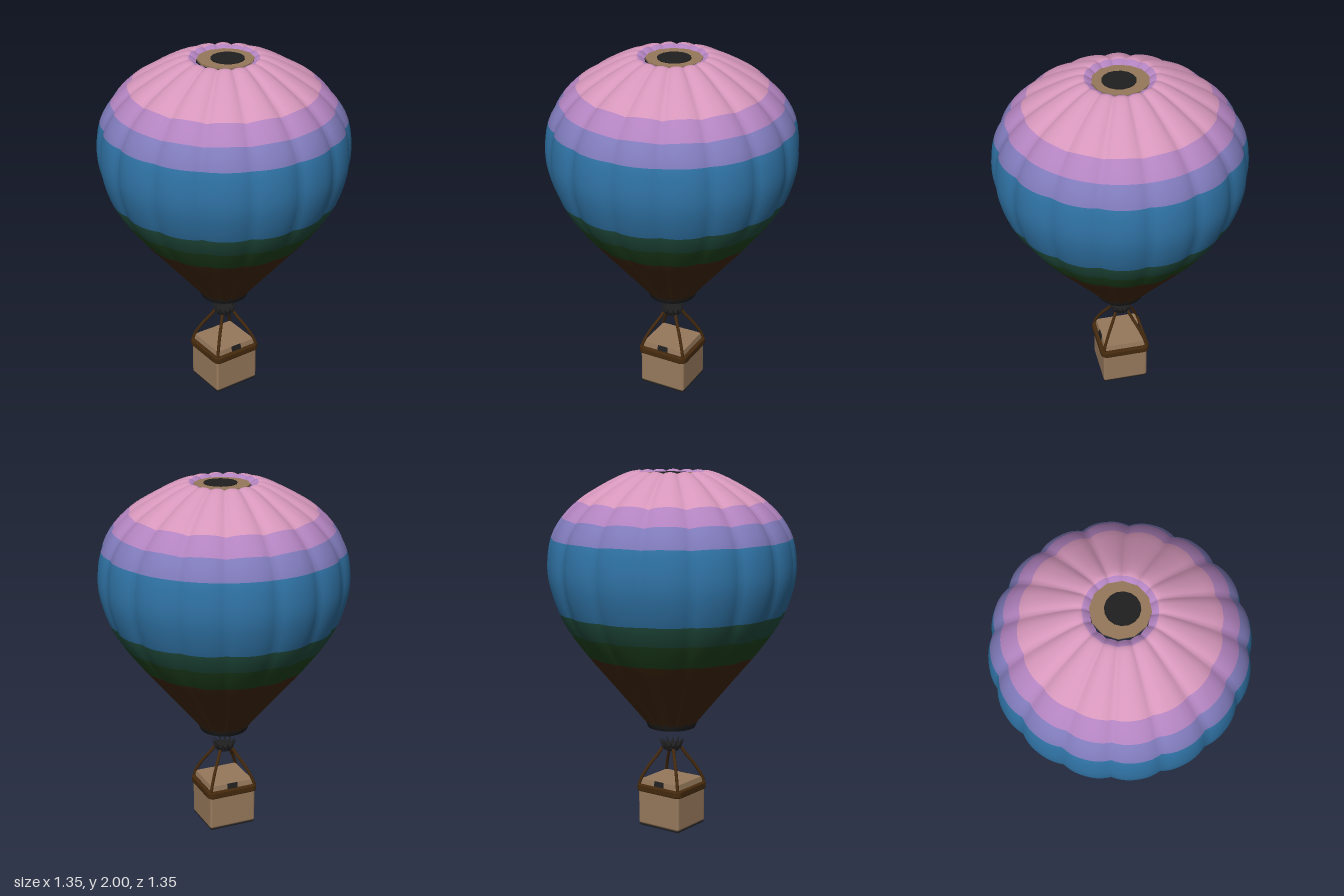
import * as THREE from 'three';
import { RoundedBoxGeometry } from 'three/addons/geometries/RoundedBoxGeometry.js';

const paint = (name, color) => {
  const m = new THREE.MeshStandardMaterial({ color });
  m.name = name;
  return m;
};

export function createModel() {
  const model = new THREE.Group();
  model.name = 'hotAirBalloon';

  const pink = paint('pink', 0xd596ba);
  const orchid = paint('orchid', 0xb283bf);
  const periwinkle = paint('periwinkle', 0x807bbb);
  const blue = paint('blue', 0x2f72a4);
  const teal = paint('deepTeal', 0x235040);
  const green = paint('forestGreen', 0x224820);
  const brown = paint('brown', 0x452a0e);
  const tan = paint('tan', 0x97795c);
  const black = paint('black', 0x202020);
  black.side = THREE.DoubleSide;

  const add = (name, geometry, material, x = 0, y = 0, z = 0, parent = model) => {
    const mesh = new THREE.Mesh(geometry, material);
    mesh.name = name;
    mesh.position.set(x, y, z);
    parent.add(mesh);
    return mesh;
  };

  // Envelope: profile swept round, pinched along 16 seams, one material per colour band
  const profile = [
    [0.13, 0.585], [0.225, 0.7], [0.35, 0.85], [0.475, 1.0], [0.57, 1.13], [0.63, 1.24],
    [0.674, 1.38], [0.684, 1.5], [0.662, 1.64], [0.6, 1.75], [0.51, 1.84],
    [0.42, 1.9], [0.31, 1.96], [0.23, 1.993], [0.185, 1.998], [0.145, 1.975],
  ];
  // last profile index of each band
  const bands = [[3, brown], [4, green], [5, teal], [8, blue], [9, periwinkle], [10, orchid], [14, pink], [15, orchid]];
  const curve = new THREE.CatmullRomCurve3(
    profile.map(([r, y]) => new THREE.Vector3(r, y, 0)), false, 'catmullrom', 0.5);
  const spans = profile.length - 1, sub = 3, rings = spans * sub, around = 160;
  const positions = [], indices = [];
  for (let i = 0; i <= rings; i++) {
    const t = i / rings;
    const p = curve.getPoint(t), d = curve.getTangent(t);
    const depth = 0.008 + 0.02 * Math.sin(Math.PI * Math.min(1, t * 1.05)) * (0.4 + t * 0.6);
    for (let j = 0; j < around; j++) {
      const a = (j / around) * Math.PI * 2;
      const pinch = depth * Math.pow(1 - Math.abs(Math.sin(8 * a)), 1.4);
      const r = p.x - d.y * pinch;
      const y = p.y + Math.min(0, d.x) * pinch;
      positions.push(r * Math.cos(a), y, r * Math.sin(a));
    }
  }
  for (let i = 0; i < rings; i++) {
    for (let j = 0; j < around; j++) {
      const k = (j + 1) % around;
      const a = i * around + j, b = i * around + k;
      indices.push(a, a + around, b, b, a + around, b + around);
    }
  }
  const envelope = new THREE.BufferGeometry();
  envelope.setAttribute('position', new THREE.Float32BufferAttribute(positions, 3));
  envelope.setIndex(indices);
  envelope.computeVertexNormals();
  let from = 0;
  bands.forEach(([to, ], n) => {
    envelope.addGroup(from * sub * around * 6, (to - from) * sub * around * 6, n);
    from = to;
  });
  add('envelope', envelope, bands.map((b) => b[1]));

  // Crown cap set into the top opening
  add('crownCap', new THREE.CylinderGeometry(0.152, 0.152, 0.01, 12), tan, 0, 1.98, -0.01);
  add('crownVent', new THREE.CylinderGeometry(0.09, 0.09, 0.006, 16), black, 0.01, 1.987, -0.015);

  // Mouth: dark skirt with a closed recess
  const skirt = [[0, 0.6], [0.105, 0.6], [0.122, 0.572], [0.134, 0.575], [0.148, 0.612]];
  add('mouthSkirt', new THREE.LatheGeometry(skirt.map(([r, y]) => new THREE.Vector2(r, y)), 32), black);

  // Burner: small plate with a crown of outward-leaning spikes
  const burner = new THREE.Group();
  burner.name = 'burner';
  model.add(burner);
  add('burnerPlate', new THREE.CylinderGeometry(0.058, 0.04, 0.03, 12), black, 0, 0.452, 0, burner);
  for (let i = 0; i < 12; i++) {
    const a = (i / 12) * Math.PI * 2;
    const spike = add('burnerSpike', new THREE.ConeGeometry(0.013, i % 2 ? 0.045 : 0.06, 5), black,
      0.056 * Math.cos(a), 0.475, 0.056 * Math.sin(a), burner);
    spike.quaternion.setFromUnitVectors(new THREE.Vector3(0, 1, 0),
      new THREE.Vector3(0.6 * Math.cos(a), 1, 0.6 * Math.sin(a)).normalize());
  }

  // Basket body, dark underside and raised lid
  add('basketBody', new RoundedBoxGeometry(0.262, 0.21, 0.28, 3, 0.014), tan, 0, 0.113, 0);
  add('basketBase', new RoundedBoxGeometry(0.255, 0.012, 0.272, 2, 0.005), black, 0, 0.006, 0);
  const lid = new THREE.CylinderGeometry(0.118 * Math.SQRT2, 0.128 * Math.SQRT2, 0.07, 4, 1).toNonIndexed();
  lid.rotateY(Math.PI / 4);
  lid.scale(1, 1, 1.06);
  lid.computeVertexNormals();
  add('basketLid', lid, tan, 0, 0.237, 0);
  for (const s of [-1, 1]) {
    const hatch = add('sidePanel', new THREE.BoxGeometry(0.008, 0.045, 0.062), black, s * 0.121, 0.25, 0);
    hatch.rotation.z = s * 0.14;
  }

  // Padded rim: rounded square band with a hollow centre
  const roundedRect = (shape, w, h, r) => {
    shape.moveTo(w - r, -h);
    shape.absarc(w - r, -h + r, r, -Math.PI / 2, 0);
    shape.absarc(w - r, h - r, r, 0, Math.PI / 2);
    shape.absarc(-w + r, h - r, r, Math.PI / 2, Math.PI);
    shape.absarc(-w + r, -h + r, r, Math.PI, Math.PI * 1.5);
    shape.closePath();
    return shape;
  };
  const rimShape = roundedRect(new THREE.Shape(), 0.138, 0.146, 0.03);
  rimShape.holes.push(roundedRect(new THREE.Path(), 0.126, 0.134, 0.02));
  const rim = new THREE.ExtrudeGeometry(rimShape, {
    depth: 0.024, bevelEnabled: true, bevelSize: 0.007, bevelThickness: 0.008, bevelSegments: 3, curveSegments: 6,
  });
  rim.rotateX(-Math.PI / 2);
  add('basketRim', rim, brown, 0, 0.211, 0);

  // Ropes from the rim corners up to the burner
  for (const sx of [-1, 1]) {
    for (const sz of [-1, 1]) {
      const path = new THREE.CatmullRomCurve3([
        [0.128, 0.215, 0.136], [0.124, 0.26, 0.13], [0.09, 0.345, 0.095], [0.055, 0.41, 0.058], [0.036, 0.45, 0.038],
      ].map(([x, y, z]) => new THREE.Vector3(sx * x, y, sz * z)));
      add('rope', new THREE.TubeGeometry(path, 16, 0.009, 8), brown);
    }
  }

  return model;
}
